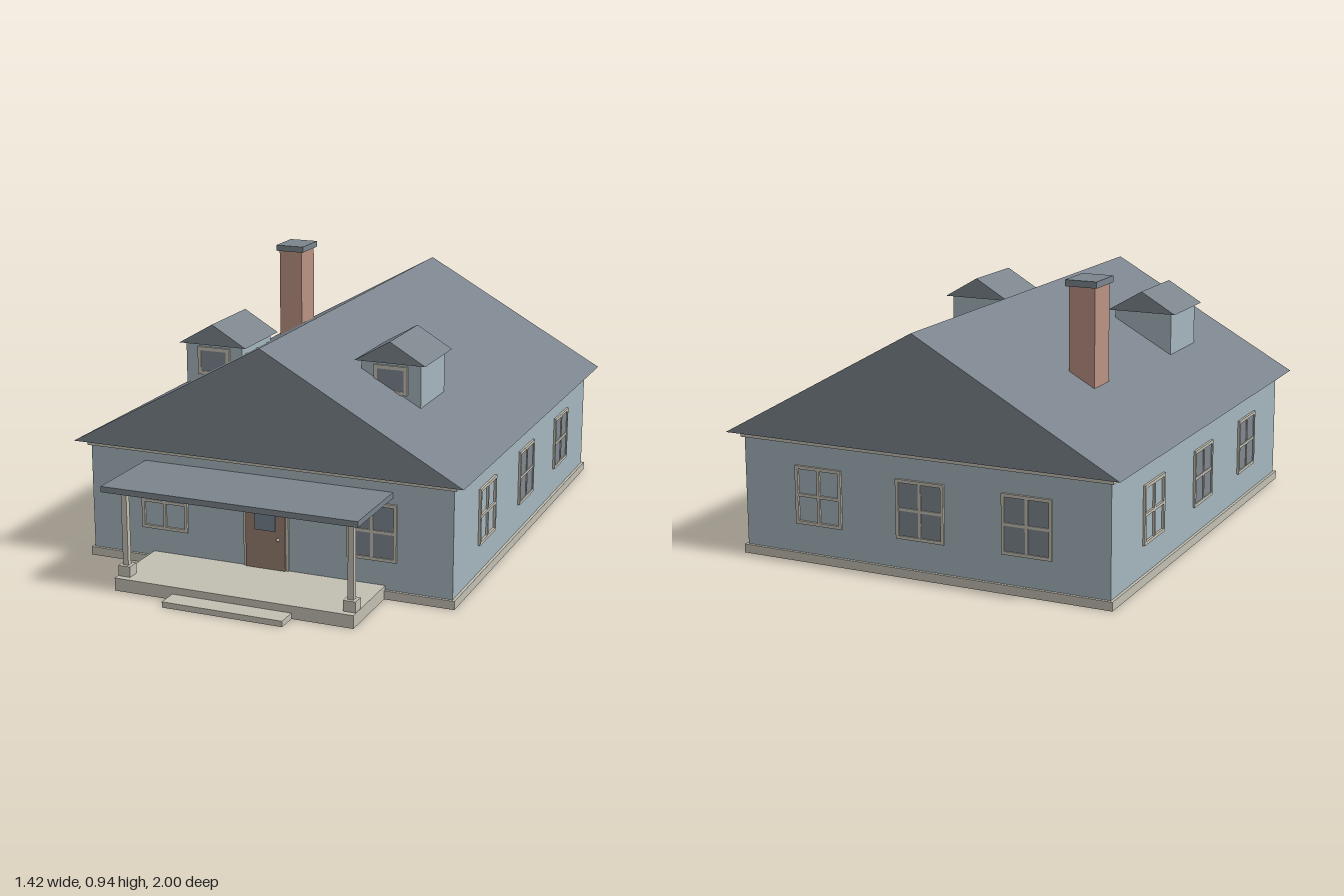
import * as THREE from 'three';

const makeMaterial = (name, color) => {
  const m = new THREE.MeshStandardMaterial({ color });
  m.name = name;
  return m;
};

export function createModel() {
  const siding = makeMaterial('siding blue', 0xa5b5bd);
  const shingle = makeMaterial('roof slate', 0x7b848c);
  const trim = makeMaterial('trim cream', 0xc2bfb2);
  const brick = makeMaterial('chimney brick', 0xba9283);
  const wood = makeMaterial('door brown', 0x957d70);
  const glass = makeMaterial('window glass', 0x7f8790);
  const doorGlass = makeMaterial('door glass', 0x75848f);

  const house = new THREE.Group();
  house.name = 'house';

  const add = (parent, name, geometry, material) => {
    const mesh = new THREE.Mesh(geometry, material);
    mesh.name = name;
    parent.add(mesh);
    return mesh;
  };

  // box given by its min and max on each axis
  const box = (parent, name, material, [x0, x1], [y0, y1], [z0, z1]) => {
    const mesh = add(parent, name, new THREE.BoxGeometry(x1 - x0, y1 - y0, z1 - z0), material);
    mesh.position.set((x0 + x1) / 2, (y0 + y1) / 2, (z0 + z1) / 2);
    return mesh;
  };

  // triangular roof with its ridge along z
  const gable = (parent, name, x, half, y0, y1, z0, z1) => {
    const shape = new THREE.Shape([
      new THREE.Vector2(-half, y0), new THREE.Vector2(half, y0), new THREE.Vector2(0, y1),
    ]);
    const geometry = new THREE.ExtrudeGeometry(shape, { depth: z1 - z0, bevelEnabled: false });
    add(parent, name, geometry, shingle).position.set(x, 0, z0);
  };

  // rectangular border lying on the wall plane z = 0
  const border = (parent, name, w, h, t) => {
    const rect = (a, b) => [[-a, -b], [a, -b], [a, b], [-a, b]].map(p => new THREE.Vector2(...p));
    const shape = new THREE.Shape(rect(w / 2, h / 2));
    shape.holes.push(new THREE.Path(rect(w / 2 - t, h / 2 - t).reverse()));
    add(parent, name, new THREE.ExtrudeGeometry(shape, { depth: 0.008, bevelEnabled: false }), trim);
  };

  // four-light window; some have no dark pane
  const crossWindow = (x, z, turn, dark) => {
    const win = new THREE.Group();
    win.name = 'window';
    border(win, 'windowFrame', 0.175, 0.2, 0.011);
    box(win, 'verticalBar', trim, [-0.005, 0.005], [-0.09, 0.09], [0, 0.007]);
    box(win, 'horizontalBar', trim, [-0.077, 0.077], [-0.005, 0.005], [0, 0.007]);
    if (dark) box(win, 'windowPane', glass, [-0.08, 0.08], [-0.09, 0.09], [0, 0.004]);
    win.position.set(x, 0.23, z);
    win.rotation.y = turn;
    house.add(win);
  };

  const wallX = 0.665, front = 0.647, back = -0.957, mid = -0.155;

  // main body
  box(house, 'foundation', trim, [-0.675, 0.675], [0, 0.03], [back - 0.01, front + 0.01]);
  box(house, 'walls', siding, [-wallX, wallX], [0.03, 0.405], [back, front]);
  box(house, 'eaveTrim', trim, [-0.675, 0.675], [0.405, 0.425], [back - 0.01, front + 0.01]);
  gable(house, 'mainRoof', 0, 0.71, 0.425, 0.82, -1, 0.69);

  // windows: the leftmost on each wall, seen from outside, has no dark pane
  for (const x of [-0.383, 0.383]) crossWindow(x, front, 0, x > 0);
  for (const i of [-1, 0, 1]) {
    crossWindow(-0.38 * i, back, Math.PI, i > -1);
    crossWindow(wallX, mid - 0.457 * i, Math.PI / 2, i > -1);
    crossWindow(-wallX, mid + 0.457 * i, -Math.PI / 2, i > -1);
  }

  // front door
  box(house, 'doorFrame', trim, [-0.083, 0.083], [0.045, 0.33], [front, front + 0.005]);
  box(house, 'door', wood, [-0.073, 0.073], [0.045, 0.317], [front, front + 0.01]);
  box(house, 'doorWindow', doorGlass, [-0.038, 0.038], [0.183, 0.27], [front + 0.008, front + 0.014]);
  add(house, 'doorKnob', new THREE.SphereGeometry(0.006, 10, 8), trim).position.set(0.048, 0.155, front + 0.014);

  // porch
  box(house, 'porchFloor', trim, [-0.43, 0.43], [0, 0.045], [front, 0.927]);
  box(house, 'porchStep', trim, [-0.215, 0.215], [0, 0.02], [0.927, 1]);
  box(house, 'porchRoof', shingle, [-0.455, 0.455], [0.352, 0.372], [front, 0.955]);

  for (const s of [-1, 1]) {
    // porch posts
    const px = s * 0.406;
    box(house, 'postBase', trim, [px - 0.022, px + 0.022], [0.045, 0.082], [0.86, 0.904]);
    box(house, 'porchPost', trim, [px - 0.01, px + 0.01], [0.082, 0.352], [0.872, 0.892]);

    // dormers
    const dx = s * 0.332;
    const dormer = new THREE.Group();
    dormer.name = 'dormer';
    house.add(dormer);
    box(dormer, 'dormerWalls', siding, [dx - 0.108, dx + 0.108], [0.575, 0.725], [0.11, 0.35]);
    gable(dormer, 'dormerRoof', dx, 0.128, 0.725, 0.8, 0.092, 0.365);
    const win = new THREE.Group();
    win.name = 'dormerWindow';
    border(win, 'dormerWindowFrame', 0.122, 0.1, 0.013);
    box(win, 'dormerWindowPane', glass, [-0.05, 0.05], [-0.04, 0.04], [0, 0.005]);
    win.position.set(dx, 0.665, 0.35);
    dormer.add(win);
  }

  // chimney
  box(house, 'chimney', brick, [-0.422, -0.33], [0.55, 0.92], [-0.533, -0.413]);
  box(house, 'chimneyCap', shingle, [-0.432, -0.32], [0.92, 0.942], [-0.543, -0.403]);

  return house;
}
